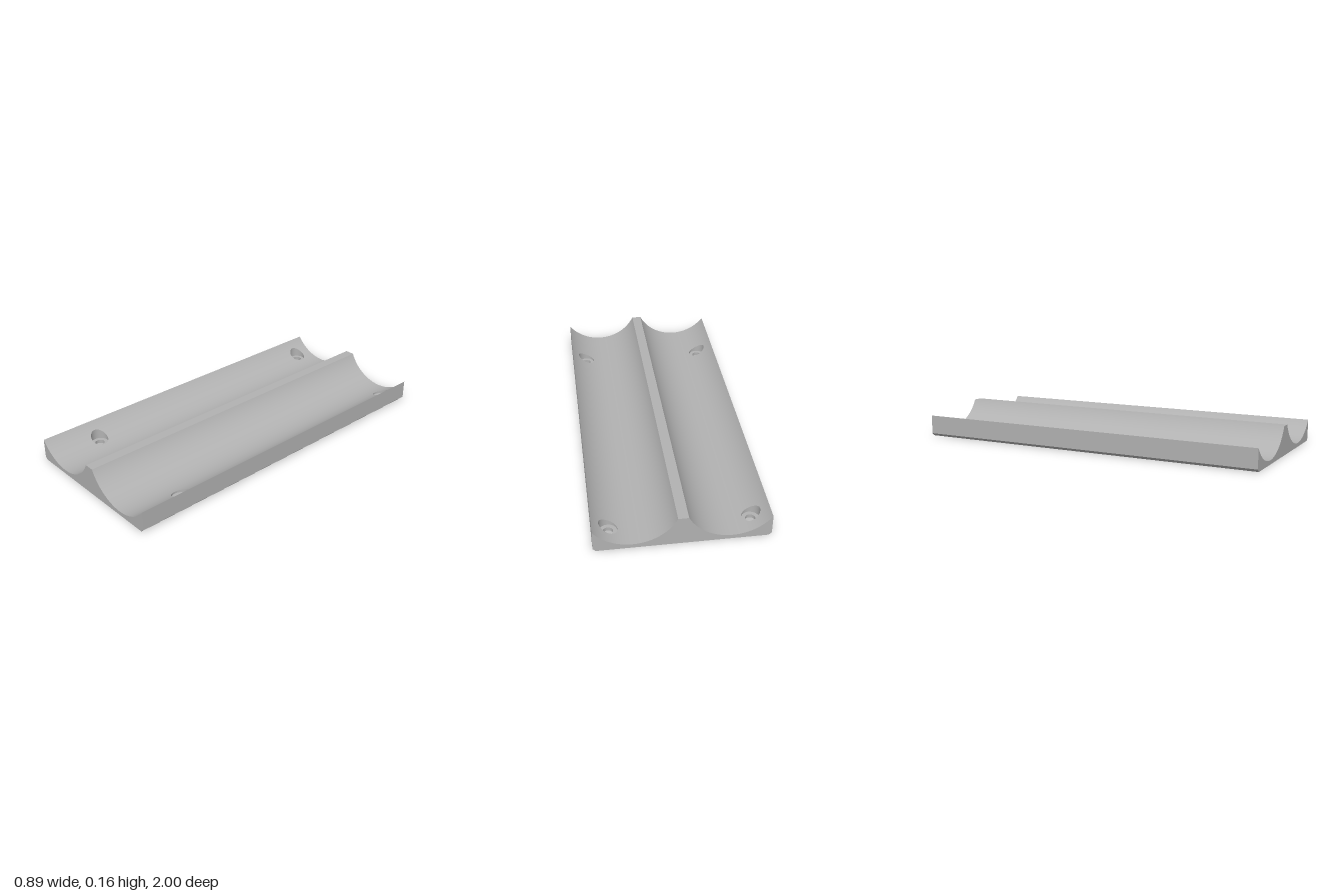
import * as THREE from 'three';
import { mergeGeometries } from 'three/addons/utils/BufferGeometryUtils.js';

// Overall section
const HALF_W = 0.445, HALF_L = 1, RIDGE_X = 0.027, RIDGE_Y = 0.16, CHAMFER = 0.015;
// Trough arc
const CX = 0.248, CY = 0.268, R = 0.246;
// Counterbored screw holes
const HOLE_X = 0.36, HOLE_Z = [-0.89, 0.7], BORE_R = 0.047, HOLE_R = 0.026, FLOOR_Y = 0.02;
const PATCH = 0.06, SIDE_SEGS = 12;

const lerp = THREE.MathUtils.lerp;
const troughY = x => x <= RIDGE_X ? RIDGE_Y : CY - Math.sqrt(R * R - (x - CX) ** 2);

// Grid surface from point(u, v); faces du x dv. Mirrored in x when side is -1.
function sheet(side, nu, nv, point, normal) {
  const pos = [], nor = [], index = [];
  for (let i = 0; i <= nu; i++) for (let j = 0; j <= nv; j++) {
    const p = point(i / nu, j / nv);
    pos.push(side * p[0], p[1], p[2]);
    if (normal) {
      const n = new THREE.Vector3(...normal(p)).normalize();
      nor.push(side * n.x, n.y, n.z);
    }
    if (i < nu && j < nv) {
      const a = i * (nv + 1) + j, b = a + nv + 1;
      if (side > 0) index.push(a, b, b + 1, a, b + 1, a + 1);
      else index.push(a, b + 1, b, a, a + 1, b + 1);
    }
  }
  const g = new THREE.BufferGeometry();
  g.setAttribute('position', new THREE.Float32BufferAttribute(pos, 3));
  g.setIndex(index);
  if (normal) g.setAttribute('normal', new THREE.Float32BufferAttribute(nor, 3));
  else g.computeVertexNormals();
  return g;
}

const arcNormal = p => [CX - p[0], CY - p[1], 0];

// Rectangle of the curved trough
const troughStrip = (side, x0, x1, z0, z1, n) => sheet(side, 1, n, (u, v) => {
  const x = lerp(x0, x1, v);
  return [x, troughY(x), lerp(z0, z1, u)];
}, arcNormal);

// Point on the unit square outline, walking from +x towards +z
function squarePoint(u) {
  const k = Math.floor(u * 4) % 4, t = (u * 4 % 1) * 2 - 1;
  return [[1, t], [-t, 1], [-1, -t], [t, -1]][k];
}
function circlePoint(u, r, z) {
  const [x, y] = squarePoint(u), d = r / Math.hypot(x, y);
  return [HOLE_X + x * d, z + y * d];
}

// Curved square patch with a round opening
const holePatch = (side, z) => sheet(side, SIDE_SEGS * 4, 4, (u, v) => {
  const s = squarePoint(u), c = circlePoint(u, BORE_R, z);
  const x = lerp(c[0], HOLE_X + s[0] * PATCH, v);
  return [x, troughY(x), lerp(c[1], z + s[1] * PATCH, v)];
}, arcNormal);

// Counterbore wall, seat and through hole
function holeInside(side, z) {
  const inward = p => [HOLE_X - p[0], 0, z - p[2]];
  const wall = (r, y0, y1) => sheet(side, SIDE_SEGS * 4, 1, (u, v) => {
    const [x, pz] = circlePoint(u, r, z);
    return [x, v ? y1(x) : y0, pz];
  }, inward);
  const seat = sheet(side, SIDE_SEGS * 4, 1, (u, v) => {
    const [x, pz] = circlePoint(u, v ? BORE_R : HOLE_R, z);
    return [x, FLOOR_Y, pz];
  }, () => [0, 1, 0]);
  return mergeGeometries([wall(BORE_R, FLOOR_Y, troughY), wall(HOLE_R, 0, () => FLOOR_Y), seat]);
}

export function createModel() {
  const group = new THREE.Group();
  const grey = new THREE.MeshStandardMaterial({ color: 0xb2b2b2 });
  grey.name = 'grey';
  const add = (name, geometry) => {
    const mesh = new THREE.Mesh(geometry, grey);
    mesh.name = name;
    group.add(mesh);
  };
  const xa = HOLE_X - PATCH, xb = HOLE_X + PATCH;

  for (const [side, label] of [[1, 'left'], [-1, 'right']]) {
    // Trough split around the hole patches
    const parts = [
      troughStrip(side, RIDGE_X, xa, -HALF_L, HALF_L, 32),
      troughStrip(side, xb, HALF_W, -HALF_L, HALF_L, 4),
    ];
    let z0 = -HALF_L;
    for (const z of HOLE_Z) {
      parts.push(troughStrip(side, xa, xb, z0, z - PATCH, SIDE_SEGS), holePatch(side, z));
      z0 = z + PATCH;
    }
    parts.push(troughStrip(side, xa, xb, z0, HALF_L, SIDE_SEGS));
    add(label + 'Trough', mergeGeometries(parts));
    add(label + 'ScrewHoles', mergeGeometries(HOLE_Z.map(z => holeInside(side, z))));

    // Outer wall and bottom chamfer
    add(label + 'Wall', sheet(side, 1, 1, (u, v) =>
      [HALF_W, lerp(CHAMFER, troughY(HALF_W), u), lerp(-HALF_L, HALF_L, v)]));
    add(label + 'Chamfer', sheet(side, 1, 1, (u, v) =>
      [HALF_W - CHAMFER * (1 - u), CHAMFER * u, lerp(-HALF_L, HALF_L, v)]));
  }

  // Flat top of the middle ridge
  add('ridgeTop', sheet(1, 1, 1, (u, v) =>
    [lerp(-RIDGE_X, RIDGE_X, v), RIDGE_Y, lerp(-HALF_L, HALF_L, u)]));

  // Underside with four through holes
  const w = HALF_W - CHAMFER;
  const base = new THREE.Shape([[-w, -1], [w, -1], [w, 1], [-w, 1]].map(p => new THREE.Vector2(...p)));
  for (const s of [1, -1]) for (const z of HOLE_Z) {
    base.holes.push(new THREE.Path().absarc(s * HOLE_X, z, HOLE_R, 0, Math.PI * 2, true));
  }
  add('underside', new THREE.ShapeGeometry(base, 24).rotateX(Math.PI / 2));

  // End faces follow the section
  const half = [[w, 0], [HALF_W, CHAMFER]];
  const span = (a, b, n) => {
    for (let i = 0; i < n; i++) {
      const x = lerp(a, b, i / n);
      half.push([x, troughY(x)]);
    }
  };
  span(HALF_W, xb, 4);
  span(xb, xa, SIDE_SEGS);
  span(xa, RIDGE_X, 32);
  half.push([RIDGE_X, RIDGE_Y]);
  const outline = [...half, ...half.map(([x, y]) => [-x, y]).reverse()];
  const section = new THREE.Shape(outline.map(p => new THREE.Vector2(...p)));
  add('frontEnd', new THREE.ShapeGeometry(section).translate(0, 0, HALF_L));
  add('backEnd', new THREE.ShapeGeometry(section).rotateY(Math.PI).translate(0, 0, -HALF_L));

  return group;
}
